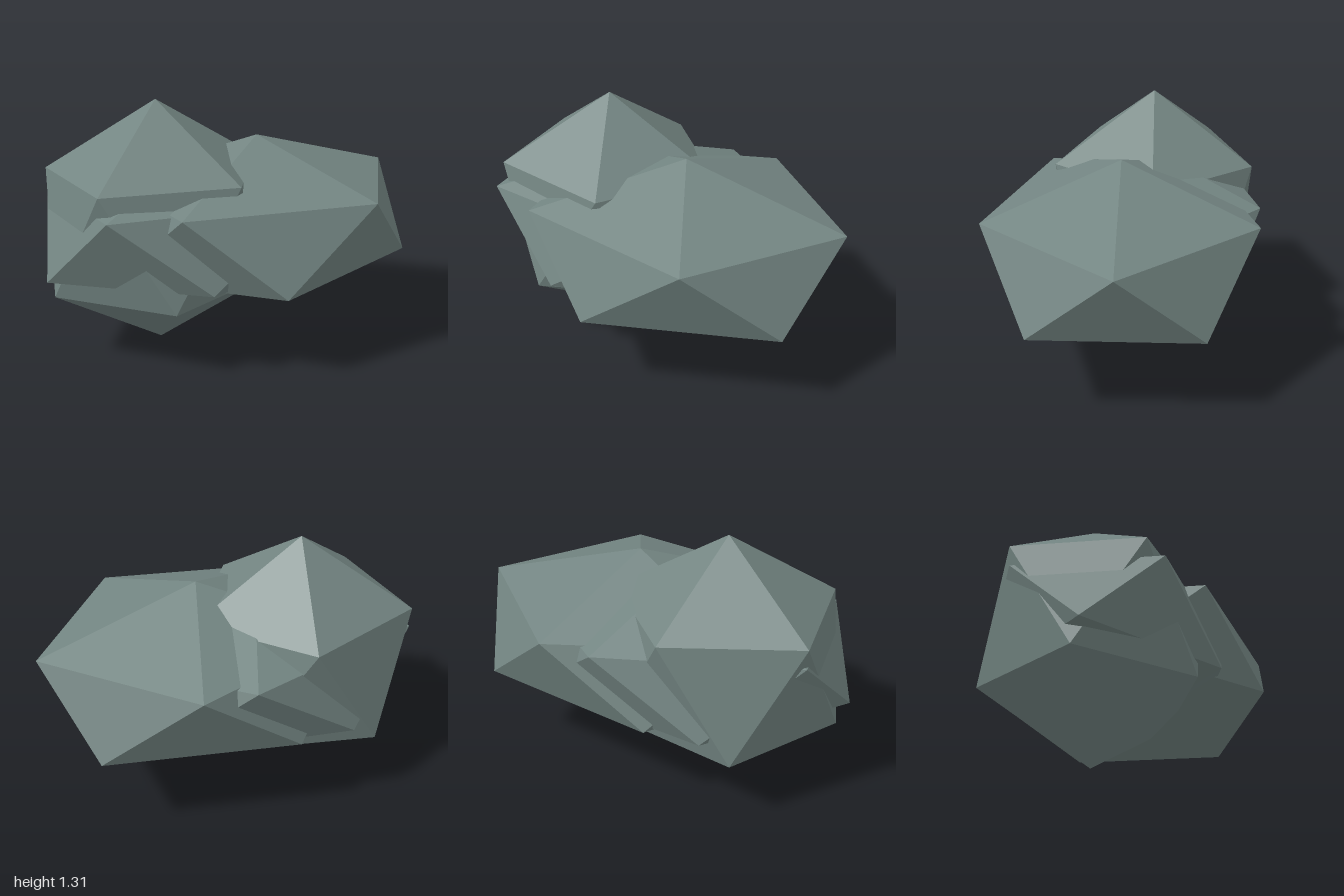
import * as THREE from 'three';

// Icosahedron standing on a corner, with an upper ring corner facing +x
function boulder(name, center, radii, material) {
  const geometry = new THREE.IcosahedronGeometry(1, 0);
  geometry.rotateX(-Math.atan((1 + Math.sqrt(5)) / 2));
  geometry.rotateY(Math.PI / 2);
  geometry.scale(...radii);
  geometry.computeVertexNormals();
  const mesh = new THREE.Mesh(geometry, material);
  mesh.name = name;
  mesh.position.set(...center);
  return mesh;
}

export function createModel() {
  const stone = new THREE.MeshStandardMaterial({ color: 0x738582 });
  stone.name = 'grey green stone';

  const group = new THREE.Group();
  group.name = 'rockCluster';
  group.add(
    // wide front boulder
    boulder('wideBoulder', [0.155, 0.66, 0.01], [0.945, 0.44, 0.8], stone),
    // tall boulder towards the back
    boulder('tallBoulder', [-0.355, 0.66, -0.147], [0.662, 0.655, 0.617], stone),
    // flat boulder wedged between the other two
    boulder('flatBoulder', [-0.12, 0.661, -0.103], [0.984, 0.42, 0.693], stone)
  );
  return group;
}
